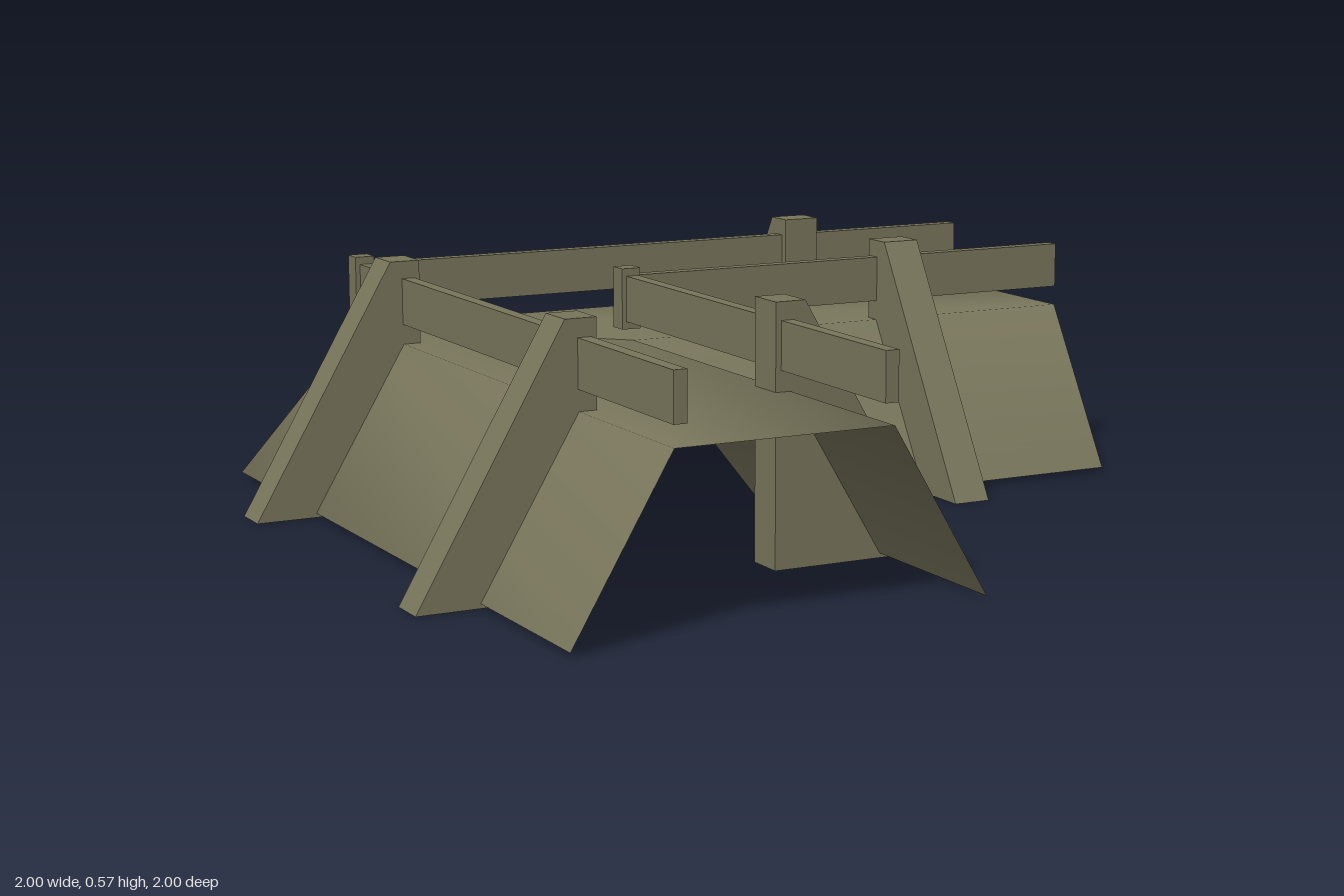
import * as THREE from 'three';

const olive = new THREE.MeshStandardMaterial({ color: 0x78755b });
olive.name = 'olive drab';
const oliveSheet = new THREE.MeshStandardMaterial({ color: 0x78755b, side: THREE.DoubleSide });
oliveSheet.name = 'olive drab sheet';

// Cross-section shared by both arms: [offset across the arm, height]
const PROFILE = [[-0.86, 0.01], [-0.64, 0.38], [-0.155, 0.38], [0.065, 0.01]];

// Open, sloped covering that turns the corner with a mitre
function coveringGeometry() {
  const pos = [], index = [];
  for (const [o, y] of PROFILE) pos.push(o, y, 1);  // 0-3 front end
  for (const [o, y] of PROFILE) pos.push(o, y, o);  // 4-7 mitre
  for (const [o, y] of PROFILE) pos.push(1, y, o);  // 8-11 side end
  for (const [o, y] of PROFILE.slice(2)) pos.push(o, y, o); // 12-13 inner mitre, kept sharp
  const strips = [
    [[0, 1, 2, 3], [4, 5, 6, 7]],
    [[4, 5, 12, 13], [8, 9, 10, 11]],
  ];
  for (const [a, b] of strips) {
    for (let k = 0; k < 3; k++) {
      index.push(a[k], a[k + 1], b[k + 1], a[k], b[k + 1], b[k]);
    }
  }
  const g = new THREE.BufferGeometry();
  g.setAttribute('position', new THREE.Float32BufferAttribute(pos, 3));
  g.setIndex(index);
  g.computeVertexNormals();
  return g;
}

// Trapezoid brace, centred on its own thickness
function braceGeometry(points) {
  const shape = new THREE.Shape(points.map(([x, y]) => new THREE.Vector2(x, y)));
  const g = new THREE.ExtrudeGeometry(shape, { depth: 0.09, bevelEnabled: false });
  g.translate(0, 0, -0.045);
  return g;
}

export function createModel() {
  const model = new THREE.Group();
  model.name = 'cornerWalkway';

  const add = (name, geometry, x, y, z, material = olive) => {
    const mesh = new THREE.Mesh(geometry, material);
    mesh.name = name;
    mesh.position.set(x, y, z);
    model.add(mesh);
    return mesh;
  };

  add('covering', coveringGeometry(), 0, 0, 0, oliveSheet);

  // Braces along both arms
  const outer = braceGeometry([[-1, 0], [-0.6, 0], [-0.6, 0.57], [-0.67, 0.57]]);
  const inner = braceGeometry([[-0.19, 0], [0.21, 0], [-0.12, 0.57], [-0.19, 0.57]]);
  add('outerBraceFront', outer, 0, 0, 0.535);
  add('outerBraceCorner', outer, 0, 0, -0.395);
  add('innerBraceFront', inner, 0, 0, 0.535);
  add('outerBraceSide', outer, 0.535, 0, 0).rotation.y = -Math.PI / 2;
  add('innerBraceSide', inner, 0.535, 0, 0).rotation.y = -Math.PI / 2;

  // Handrails meeting at a short corner post
  for (const [label, c] of [['outer', -0.63], ['inner', -0.165]]) {
    const length = 1 - c;
    const mid = (1 + c) / 2;
    add(label + 'RailFront', new THREE.BoxGeometry(0.03, 0.105, length), c + 0.003, 0.478, mid);
    add(label + 'RailSide', new THREE.BoxGeometry(length, 0.105, 0.03), mid, 0.478, c - 0.003);
    add(label + 'CornerPost', new THREE.BoxGeometry(0.046, 0.14, 0.046), c, 0.478, c - 0.004);
  }

  return model;
}
